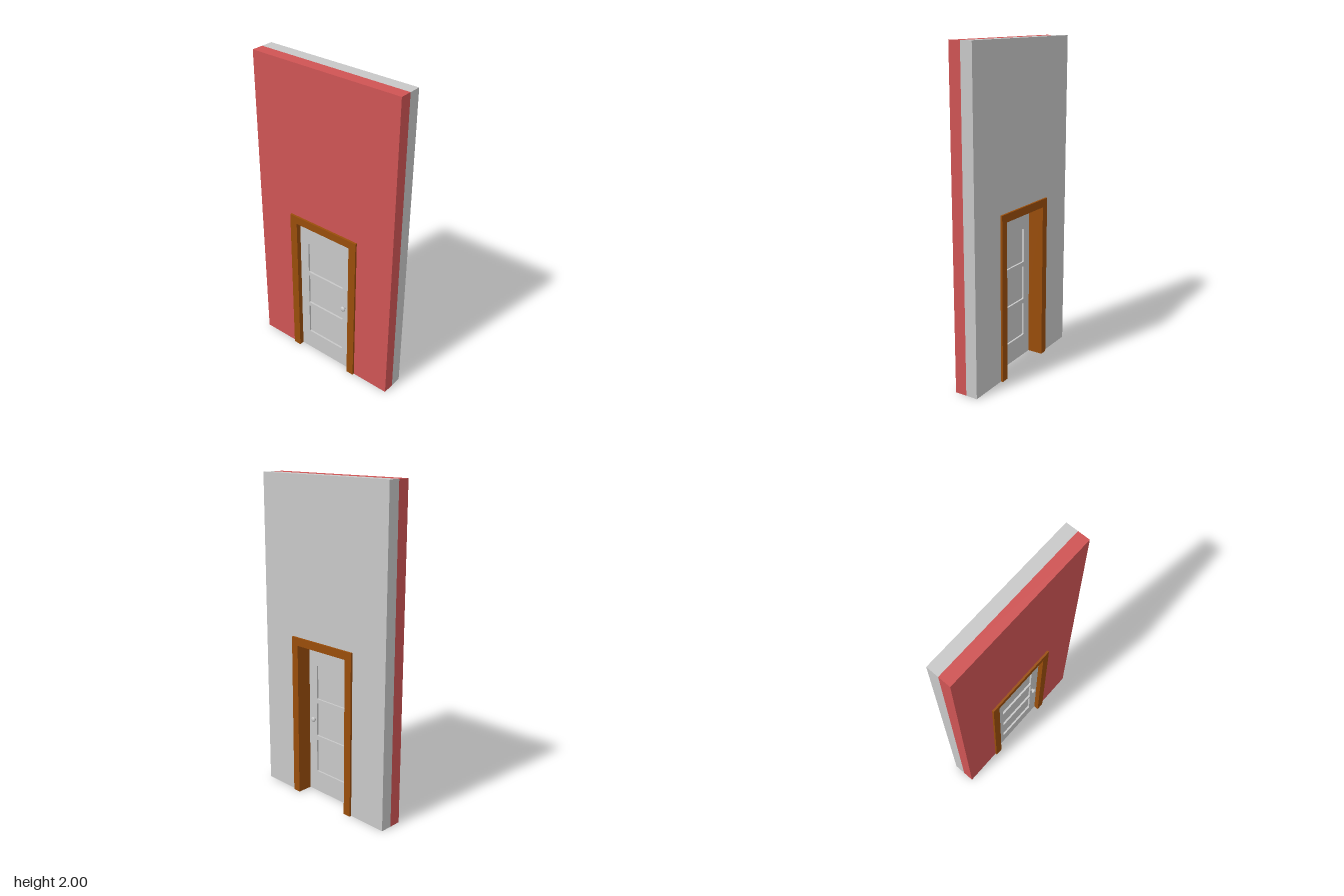
import * as THREE from 'three';

// Upside-down U outline: outer block with a doorway cut from the bottom
function archShape(outerX, outerY, innerX, innerY) {
  const s = new THREE.Shape();
  s.moveTo(-outerX, 0);
  s.lineTo(-innerX, 0);
  s.lineTo(-innerX, innerY);
  s.lineTo(innerX, innerY);
  s.lineTo(innerX, 0);
  s.lineTo(outerX, 0);
  s.lineTo(outerX, outerY);
  s.lineTo(-outerX, outerY);
  s.closePath();
  return s;
}

// Rounded rectangle hole for a recessed door panel
function panelHole(x0, x1, y0, y1, r) {
  const p = new THREE.Path();
  p.moveTo(x0 + r, y0);
  p.lineTo(x1 - r, y0);
  p.quadraticCurveTo(x1, y0, x1, y0 + r);
  p.lineTo(x1, y1 - r);
  p.quadraticCurveTo(x1, y1, x1 - r, y1);
  p.lineTo(x0 + r, y1);
  p.quadraticCurveTo(x0, y1, x0, y1 - r);
  p.lineTo(x0, y0 + r);
  p.quadraticCurveTo(x0, y0, x0 + r, y0);
  return p;
}

function slab(name, shape, z0, z1, material) {
  const geo = new THREE.ExtrudeGeometry(shape, { depth: z1 - z0, bevelEnabled: false, curveSegments: 4 });
  const mesh = new THREE.Mesh(geo, material);
  mesh.name = name;
  mesh.position.z = z0;
  return mesh;
}

export function createModel() {
  const red = new THREE.MeshStandardMaterial({ name: 'red wall', color: 0xcf5454 });
  const grey = new THREE.MeshStandardMaterial({ name: 'light grey', color: 0xc8c8c8 });
  const brown = new THREE.MeshStandardMaterial({ name: 'brown wood', color: 0x994d0a });

  const model = new THREE.Group();
  model.name = 'wallWithDoor';

  // Two-layer wall, red in front and grey behind
  const wall = archShape(0.5, 2, 0.25, 1.03);
  model.add(slab('frontWall', wall, 0, 0.074, red));
  model.add(slab('backWall', wall, -0.074, 0, grey));

  // Door frame standing proud of both wall faces
  model.add(slab('doorFrame', archShape(0.25, 1.03, 0.2, 0.98), -0.087, 0.087, brown));

  // Door: solid core with a pierced face on each side
  const door = new THREE.Group();
  door.name = 'door';
  const doorZ = 0.033, coreHalf = 0.01, faceHalf = 0.022;
  const core = new THREE.Mesh(new THREE.BoxGeometry(0.4, 0.98, coreHalf * 2), grey);
  core.name = 'doorCore';
  core.position.set(0, 0.49, doorZ);
  door.add(core);

  const face = new THREE.Shape();
  face.moveTo(-0.2, 0);
  face.lineTo(0.2, 0);
  face.lineTo(0.2, 0.98);
  face.lineTo(-0.2, 0.98);
  face.closePath();
  for (const [y0, y1] of [[0.137, 0.354], [0.382, 0.6], [0.628, 0.845]]) {
    face.holes.push(panelHole(-0.138, 0.135, y0, y1, 0.007));
  }
  door.add(slab('doorFrontFace', face, doorZ + coreHalf, doorZ + faceHalf, grey));
  door.add(slab('doorBackFace', face, doorZ - faceHalf, doorZ - coreHalf, grey));

  // Round knob on both sides
  const profile = [[0.008, 0], [0.008, 0.008], [0.014, 0.011], [0.017, 0.016], [0.015, 0.022], [0.009, 0.025], [0, 0.026]]
    .map(([x, y]) => new THREE.Vector2(x, y));
  const knobGeo = new THREE.LatheGeometry(profile, 20);
  for (const side of [1, -1]) {
    const knob = new THREE.Mesh(knobGeo, grey);
    knob.name = side > 0 ? 'frontKnob' : 'backKnob';
    knob.position.set(0.152, 0.49, doorZ + side * faceHalf);
    knob.rotation.x = side * Math.PI / 2;
    door.add(knob);
  }
  model.add(door);

  return model;
}
